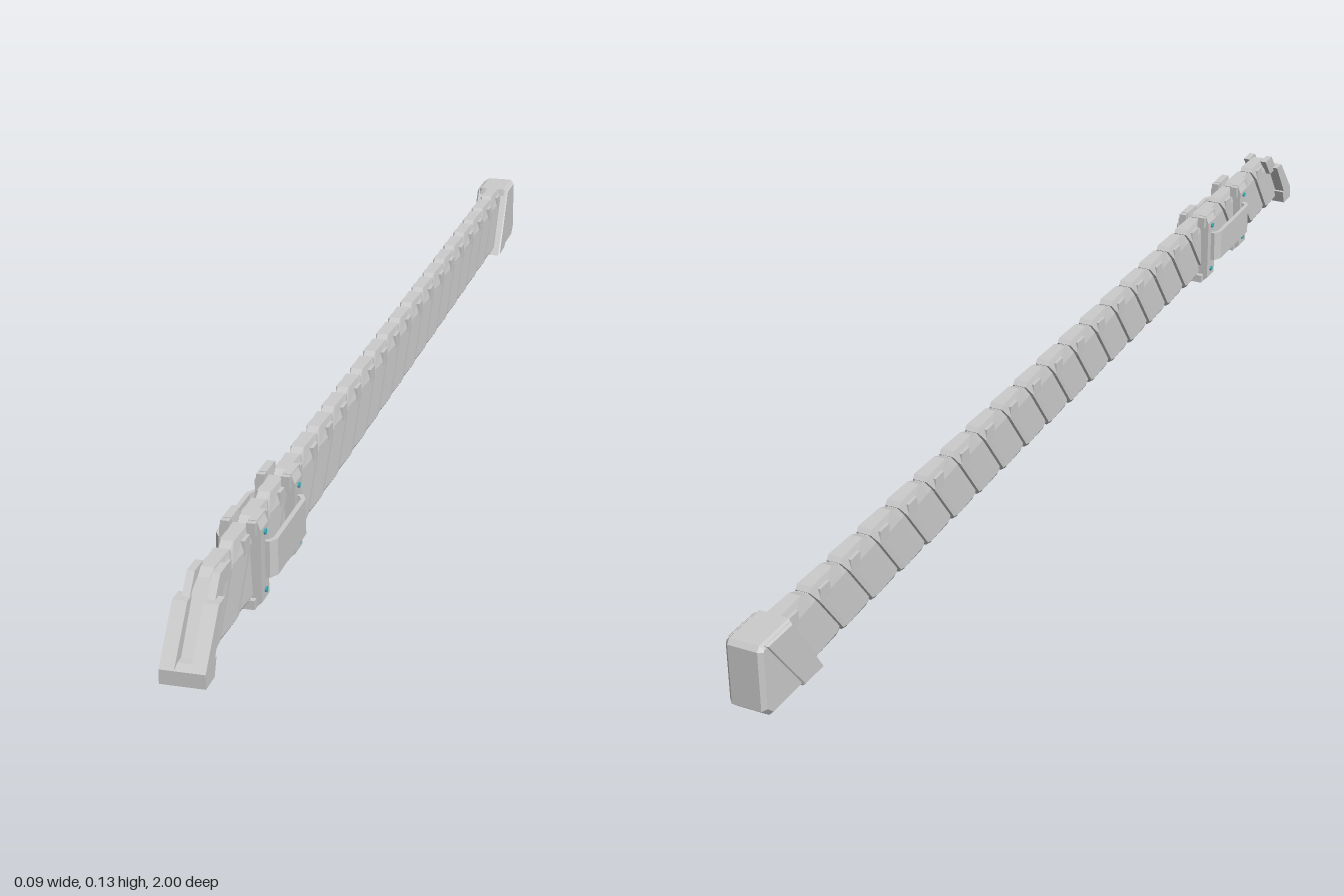
import * as THREE from 'three';

const grey = new THREE.MeshStandardMaterial({ color: 0xcccccc, flatShading: true, side: THREE.DoubleSide });
const teal = new THREE.MeshStandardMaterial({ color: 0x2fb5c0, flatShading: true });
const SLANT = 0.75; // the top of every panel leans back by this slope

function shapeOf(points) {
  return new THREE.Shape(points.map(([a, b]) => new THREE.Vector2(a, b)));
}

// Side profile given as [z, y], extruded across x and centred on cx
function sidePlate(points, width, cx = 0, bevel = 0) {
  const depth = width - 2 * bevel;
  const geo = new THREE.ExtrudeGeometry(shapeOf(points), {
    depth, bevelEnabled: bevel > 0, bevelSize: bevel, bevelOffset: -bevel,
    bevelThickness: bevel, bevelSegments: 1,
  });
  return geo.rotateY(-Math.PI / 2).translate(cx + depth / 2, 0, 0);
}

// Skin over matching convex rings of [x, y, z], with fan caps
function loft(rings) {
  const pos = [];
  const n = rings[0].length;
  const tri = (a, b, c) => pos.push(...a, ...b, ...c);
  for (let r = 0; r < rings.length - 1; r++) {
    for (let i = 0; i < n; i++) {
      const j = (i + 1) % n, A = rings[r], B = rings[r + 1];
      tri(A[i], B[j], B[i]);
      tri(A[i], A[j], B[j]);
    }
  }
  const first = rings[0], last = rings[rings.length - 1];
  for (let i = 1; i < n - 1; i++) {
    tri(first[0], first[i + 1], first[i]);
    tri(last[0], last[i], last[i + 1]);
  }
  const geo = new THREE.BufferGeometry();
  geo.setAttribute('position', new THREE.Float32BufferAttribute(pos, 3));
  geo.computeVertexNormals();
  return geo;
}

// Slanted slice of the blade with half width w and top height top
function slice(z, w, top, bottom) {
  const half = [[w * 0.55, bottom], [w, bottom + 0.01], [w, 0.1], [w * 0.65, top]];
  const ring = [...half, ...half.slice().reverse().map(([x, y]) => [-x, y])];
  return ring.map(([x, y]) => [x, y, z - SLANT * (y - 0.06)]);
}

export function createModel() {
  const model = new THREE.Group();
  const add = (name, geo, parent = model, mat = grey) => {
    const mesh = new THREE.Mesh(geo, mat);
    mesh.name = name;
    parent.add(mesh);
    return mesh;
  };

  // Blade core and the stepped row of slanted panels, thicker towards the back
  const blade = new THREE.Group();
  blade.name = 'blade';
  model.add(blade);
  add('core', loft([slice(0.945, 0.012, 0.117, 0.013), slice(-0.9, 0.012, 0.117, 0.013)]), blade);
  const count = 22, start = 0.95, pitch = 1.84 / count;
  for (let i = 0; i < count; i++) {
    const z = start - i * pitch;
    add('panel', loft([
      slice(z, 0.0125, 0.118, 0.012),
      slice(z - pitch * 0.14, 0.014, 0.125, 0.009),
      slice(z - pitch * 0.84, 0.0175, 0.125, 0.009),
      slice(z - pitch * 0.97, 0.0175, 0.118, 0.012),
    ]), blade);
    // Upright tab beside the top edge
    add('panelTab', new THREE.BoxGeometry(0.035, 0.022, 0.026)
      .translate(0, 0.105, z - pitch * 0.72 - SLANT * 0.045), blade);
  }

  // Front cap: toe block, two sloping arms and a collar behind them
  const front = new THREE.Group();
  front.name = 'frontCap';
  model.add(front);
  add('toe', sidePlate([[1, 0.006], [1, 0.027], [0.985, 0.032], [0.955, 0.032], [0.965, 0.006]], 0.064), front);
  for (const s of [-1, 1]) {
    add('arm', sidePlate([[1, 0.027], [0.94, 0.098], [0.915, 0.098], [0.965, 0.027]], 0.021, s * 0.0215), front);
    add('collar', sidePlate([[0.935, 0.09], [0.905, 0.125], [0.872, 0.125], [0.9, 0.09]], 0.011, s * 0.0175), front);
  }

  // Rear cap: slanted strap and bevelled end block
  const rear = new THREE.Group();
  rear.name = 'rearCap';
  model.add(rear);
  add('strap', sidePlate([[-0.85, 0.007], [-0.923, 0.122], [-0.988, 0.122], [-0.903, 0.007]], 0.062, 0, 0.003), rear);
  add('endBlock', sidePlate([[-0.89, 0.008], [-0.92, 0.125], [-0.994, 0.125], [-1, 0.118],
    [-1, 0.024], [-0.982, 0.008]], 0.058, 0, 0.006), rear);

  // Two clamps around the blade, each with a split top and bolts
  const half = [[0.02, 0], [0.03, 0.009], [0.03, 0.118], [0.024, 0.133], [0.012, 0.133], [0.01, 0.117]];
  const outline = [...half, ...half.slice().reverse().map(([x, y]) => [-x, y])];
  for (const z of [0.735, 0.572]) {
    const clamp = new THREE.Group();
    clamp.name = 'clamp';
    clamp.position.z = z;
    model.add(clamp);
    add('clampBand', new THREE.ExtrudeGeometry(shapeOf(outline), { depth: 0.034, bevelEnabled: false })
      .translate(0, 0, -0.017), clamp);
    // Wider jaws at the top and bottom
    add('lowerJaw', new THREE.BoxGeometry(0.044, 0.014, 0.052).translate(0, 0.008, 0), clamp);
    for (const s of [-1, 1]) {
      add('upperJaw', new THREE.BoxGeometry(0.013, 0.02, 0.052).translate(s * 0.0185, 0.122, 0), clamp);
      for (const y of [0.022, 0.11]) {
        add('bolt', new THREE.CylinderGeometry(0.0045, 0.0045, 0.004, 8)
          .rotateZ(Math.PI / 2).translate(s * 0.0305, y, 0), clamp, teal);
      }
    }
  }

  // Side handles: a flat bar bent back to the clamps at both ends
  for (const s of [-1, 1]) {
    const plan = [[0.028, 0.735], [0.037, 0.735], [0.045, 0.722], [0.045, 0.585], [0.037, 0.57], [0.028, 0.57],
      [0.028, 0.578], [0.034, 0.578], [0.038, 0.588], [0.038, 0.718], [0.034, 0.727], [0.028, 0.727]];
    add(s > 0 ? 'leftHandle' : 'rightHandle',
      new THREE.ExtrudeGeometry(shapeOf(plan.map(([x, z]) => [s * x, z])), { depth: 0.055, bevelEnabled: false })
        .rotateX(Math.PI / 2).translate(0, 0.095, 0));
  }

  return model;
}
